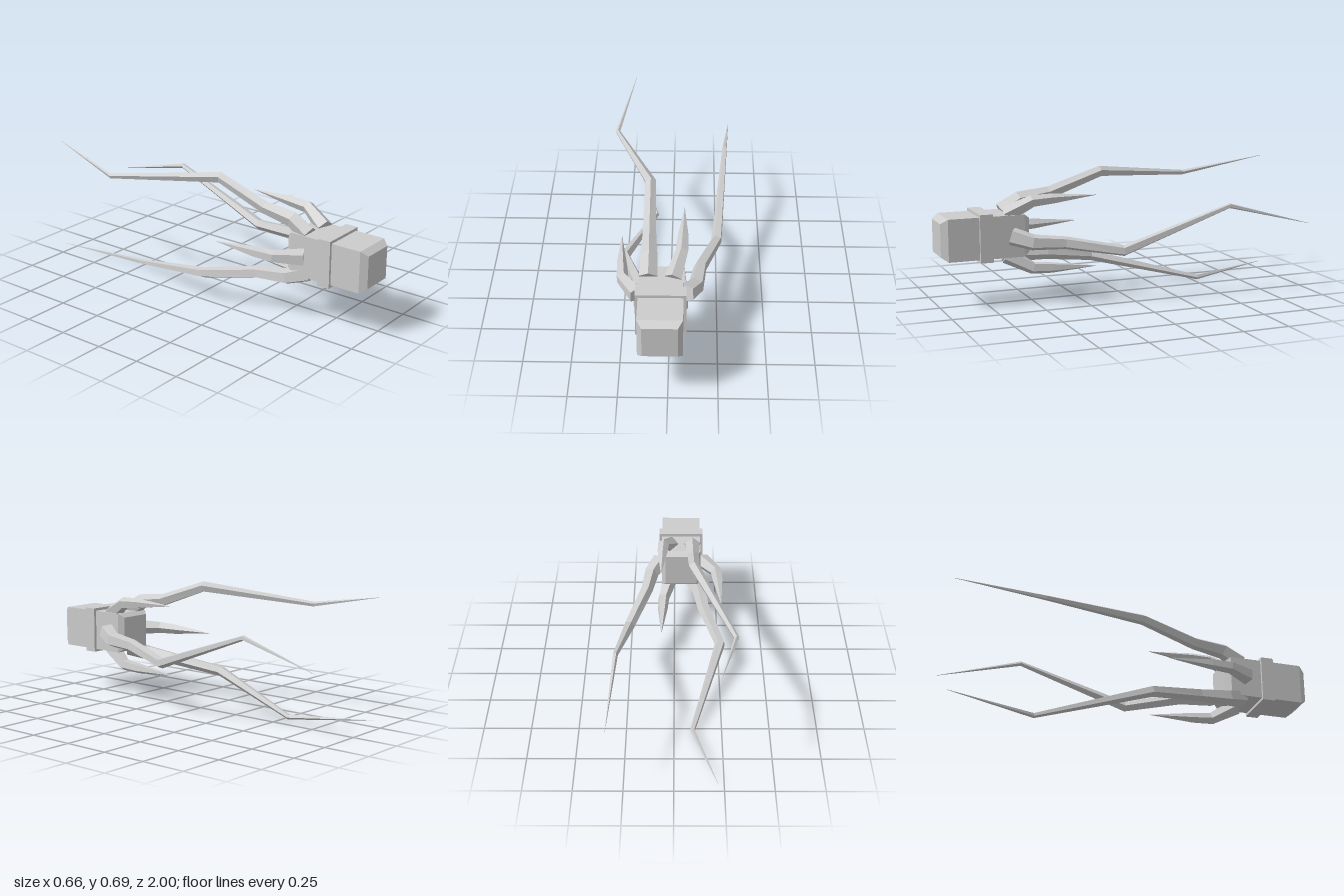
import * as THREE from 'three';

// Faceted loft along a path of [x, y, z, radius], with closed ends.
// Corner 0 of every ring points towards +y, turned by phase.
function loft(path, sides, phase = 0) {
  const pts = path.map(([x, y, z]) => new THREE.Vector3(x, y, z));
  const rings = pts.map((p, i) => {
    const t = new THREE.Vector3();
    if (i > 0) t.add(p.clone().sub(pts[i - 1]).normalize());
    if (i < pts.length - 1) t.add(pts[i + 1].clone().sub(p).normalize());
    t.normalize();
    const out = new THREE.Vector3(0, 1, 0);
    out.addScaledVector(t, -out.dot(t)).normalize();
    const side = new THREE.Vector3().crossVectors(t, out);
    const r = path[i][3];
    return Array.from({ length: sides }, (_, j) => {
      const a = phase + (j / sides) * Math.PI * 2;
      return p.clone()
        .addScaledVector(out, Math.cos(a) * r)
        .addScaledVector(side, Math.sin(a) * r);
    });
  });
  const tris = [];
  const last = rings.length - 1;
  for (let j = 0; j < sides; j++) {
    const k = (j + 1) % sides;
    for (let i = 0; i < last; i++) {
      const a = rings[i][j], b = rings[i][k], c = rings[i + 1][k], d = rings[i + 1][j];
      tris.push(a, b, c, a, c, d);
    }
    tris.push(pts[0], rings[0][k], rings[0][j]);
    tris.push(pts[last], rings[last][j], rings[last][k]);
  }
  const geometry = new THREE.BufferGeometry().setFromPoints(tris);
  geometry.computeVertexNormals();
  return geometry;
}

export function createModel() {
  const model = new THREE.Group();
  model.name = 'tentacledBlock';
  const gray = new THREE.MeshStandardMaterial({ color: 0xcccccc, flatShading: true });
  gray.name = 'light gray';

  // Everything is arranged around one lengthwise axis
  const core = new THREE.Group();
  core.name = 'core';
  core.position.set(-0.038, 0.367, 0);
  model.add(core);

  function add(name, geometry, turn = 0) {
    const mesh = new THREE.Mesh(geometry, gray);
    mesh.name = name;
    mesh.rotation.z = THREE.MathUtils.degToRad(turn);
    core.add(mesh);
    return mesh;
  }

  // Square body with bevelled ends
  const body = [[1, 0.0875], [0.965, 0.112], [0.555, 0.112], [0.525, 0.09]]
    .map(([z, half]) => [0, 0, z, half * Math.SQRT2]);
  add('body', loft(body, 4, Math.PI / 4));

  // Raised collar
  add('collar', new THREE.BoxGeometry(0.254, 0.254, 0.07)).position.z = 0.765;

  // Three long jointed arms with a ridge facing outwards
  const longArm = loft([
    [-0.065, 0.105, 0.63, 0.05],
    [-0.064, 0.165, 0.53, 0.044],
    [-0.067, 0.19, 0.36, 0.035],
    [-0.069, 0.291, 0.065, 0.03],
    [-0.275, 0.227, -0.53, 0.014],
    [-0.186, 0.316, -1, 0.0008],
  ], 5);

  // Three short claws with a flat side facing outwards
  const shortArm = loft([
    [0, 0.122, 0.642, 0.047],
    [0, 0.205, 0.51, 0.034],
    [0, 0.213, 0.4, 0.029],
    [0, 0.223, 0.155, 0.0008],
  ], 5, Math.PI / 5);

  for (let i = 0; i < 3; i++) {
    add('longArm' + (i + 1), longArm, i * 120);
    add('shortClaw' + (i + 1), shortArm, i * 120 - 30);
  }
  return model;
}
